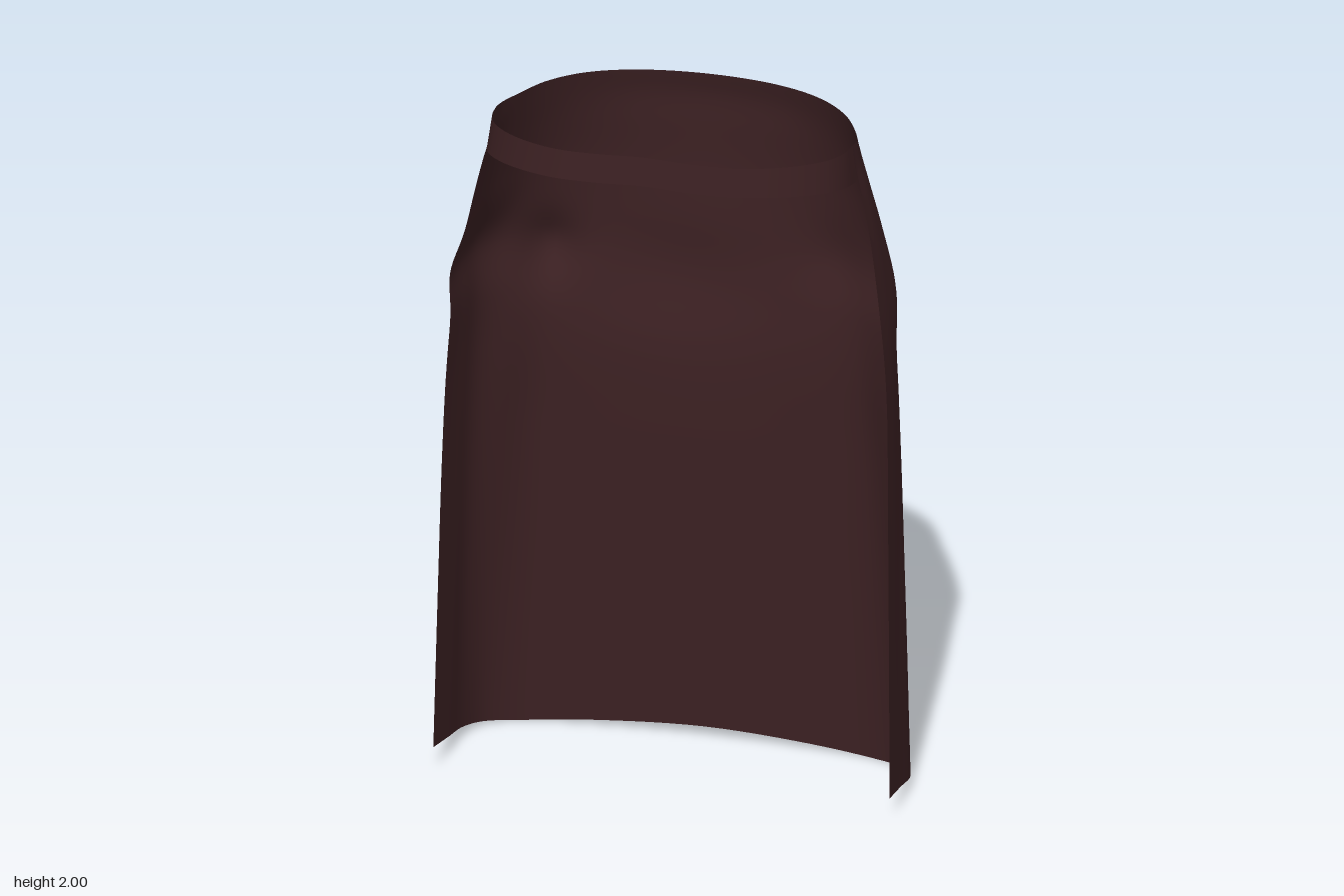
import * as THREE from 'three';

const V = (x, y, z) => new THREE.Vector3(x, y, z);

// Smooth open surface through rows of points (rows run bottom to top)
function sheet(rows, cols, steps, adjust = (p) => p) {
  const curves = rows.map((r) => new THREE.CatmullRomCurve3(r));
  const pos = [], idx = [];
  for (let i = 0; i <= cols; i++) {
    const column = new THREE.CatmullRomCurve3(curves.map((c) => c.getPoint(i / cols)));
    for (let j = 0; j <= steps; j++) pos.push(...adjust(column.getPoint(j / steps)).toArray());
  }
  for (let i = 0; i < cols; i++) {
    for (let j = 0; j < steps; j++) {
      const a = i * (steps + 1) + j, b = a + steps + 1;
      idx.push(a, a + 1, b, b, a + 1, b + 1);
    }
  }
  const g = new THREE.BufferGeometry();
  g.setAttribute('position', new THREE.Float32BufferAttribute(pos, 3));
  g.setIndex(idx);
  g.computeVertexNormals();
  return g;
}

// Mirror a half row that starts on the centre line; dir = +1 runs from -x to +x
function mirrored(half, dir) {
  const other = half.slice(1).reverse().map((p) => V(-p.x, p.y, p.z));
  const row = [...other, ...half];
  return dir > 0 ? row : row.reverse();
}

// Half cross-sections of the cloth: [x, z] from the back centre to the side edge
const sections = [
  [0, [[0, -0.272], [0.3, -0.267], [0.5, -0.247], [0.595, -0.188], [0.631, -0.1], [0.638, 0.03], [0.645, 0.165]]],
  [0.45, [[0, -0.271], [0.285, -0.265], [0.48, -0.245], [0.573, -0.18], [0.62, -0.1], [0.63, 0.015], [0.638, 0.147]]],
  [0.9, [[0, -0.272], [0.27, -0.266], [0.462, -0.242], [0.55, -0.172], [0.606, -0.1], [0.622, 0], [0.63, 0.128]]],
  [1.15, [[0, -0.285], [0.25, -0.276], [0.44, -0.247], [0.53, -0.18], [0.595, -0.105], [0.614, -0.01], [0.623, 0.11]]],
  [1.3, [[0, -0.302], [0.245, -0.295], [0.43, -0.263], [0.53, -0.192], [0.588, -0.11], [0.606, -0.015], [0.613, 0.099]]],
  [1.45, [[0, -0.33], [0.24, -0.325], [0.42, -0.294], [0.533, -0.232], [0.58, -0.14], [0.594, -0.02], [0.595, 0.085]]],
  [1.64, [[0, -0.36], [0.225, -0.341], [0.395, -0.292], [0.49, -0.225], [0.546, -0.125], [0.565, -0.022], [0.566, 0.062]]],
  [1.78, [[0, -0.367], [0.212, -0.341], [0.365, -0.282], [0.457, -0.208], [0.513, -0.112], [0.535, -0.026], [0.537, 0.044]]],
  [1.87, [[0, -0.369], [0.205, -0.34], [0.35, -0.272], [0.438, -0.194], [0.491, -0.105], [0.511, -0.03], [0.514, 0.031]]],
  [1.94, [[0, -0.356], [0.2, -0.328], [0.337, -0.262], [0.425, -0.183], [0.475, -0.1], [0.499, -0.03], [0.503, 0.03]]],
];
const hem = [0.03, 0.016, 0.001, 0.012, 0.03, 0.055, 0.08];
const waist = [0.003, 0.005, 0.008, 0.005, 0, 0.005, 0.015];

// Folds in the cloth: centre x, y, radius x, y and push along x, z
const folds = [
  [-0.07, 1.34, 0.26, 0.14, 0, -0.03],
  [-0.44, 1.4, 0.07, 0.09, -0.01, -0.045],
  [-0.6, 1.47, 0.06, 0.09, -0.022, 0],
  [0.36, 1.45, 0.08, 0.1, 0, -0.015],
];
function crumple(p) {
  const { x, y } = p;
  for (const [cx, cy, rx, ry, dx, dz] of folds) {
    const w = Math.exp(-(((x - cx) / rx) ** 2) - ((y - cy) / ry) ** 2);
    p.x += dx * w;
    p.z += dz * w;
  }
  return p;
}

// Half waistband: [x, z, lower y, upper y] from the front centre to the cloth edge
const band = [
  [0, 0.353, 1.92, 2], [0.13, 0.357, 1.917, 1.997], [0.26, 0.338, 1.91, 1.99], [0.39, 0.27, 1.897, 1.98],
  [0.477, 0.177, 1.88, 1.968], [0.508, 0.1, 1.866, 1.96], [0.515, 0.03, 1.85, 1.955],
];

export function createModel() {
  const group = new THREE.Group();
  const cloth = new THREE.MeshStandardMaterial({ color: 0x3b2022, side: THREE.DoubleSide });
  cloth.name = 'dark brown cloth';

  // Main cloth, wrapped round the back and sides
  const rows = sections.map(([y, pts]) => mirrored(
    pts.map(([x, z], i) => V(x, y + hem[i] * (1 - y / 1.94) + waist[i] * (y / 1.94), z)), 1));
  const panel = new THREE.Mesh(sheet(rows, 72, 72, crumple), cloth);
  panel.name = 'apronPanel';

  // Thin band closing the loop at the front, leaning slightly inward
  const lower = mirrored(band.map(([x, z, y0], i) => V(x, y0, z + (i < 6 ? 0.013 : 0))), -1);
  const upper = mirrored(band.map(([x, z, , y1]) => V(x * 0.977, y1, z)), -1);
  const strap = new THREE.Mesh(sheet([lower, upper], 48, 2), cloth);
  strap.name = 'waistband';

  group.add(panel, strap);
  return group;
}
